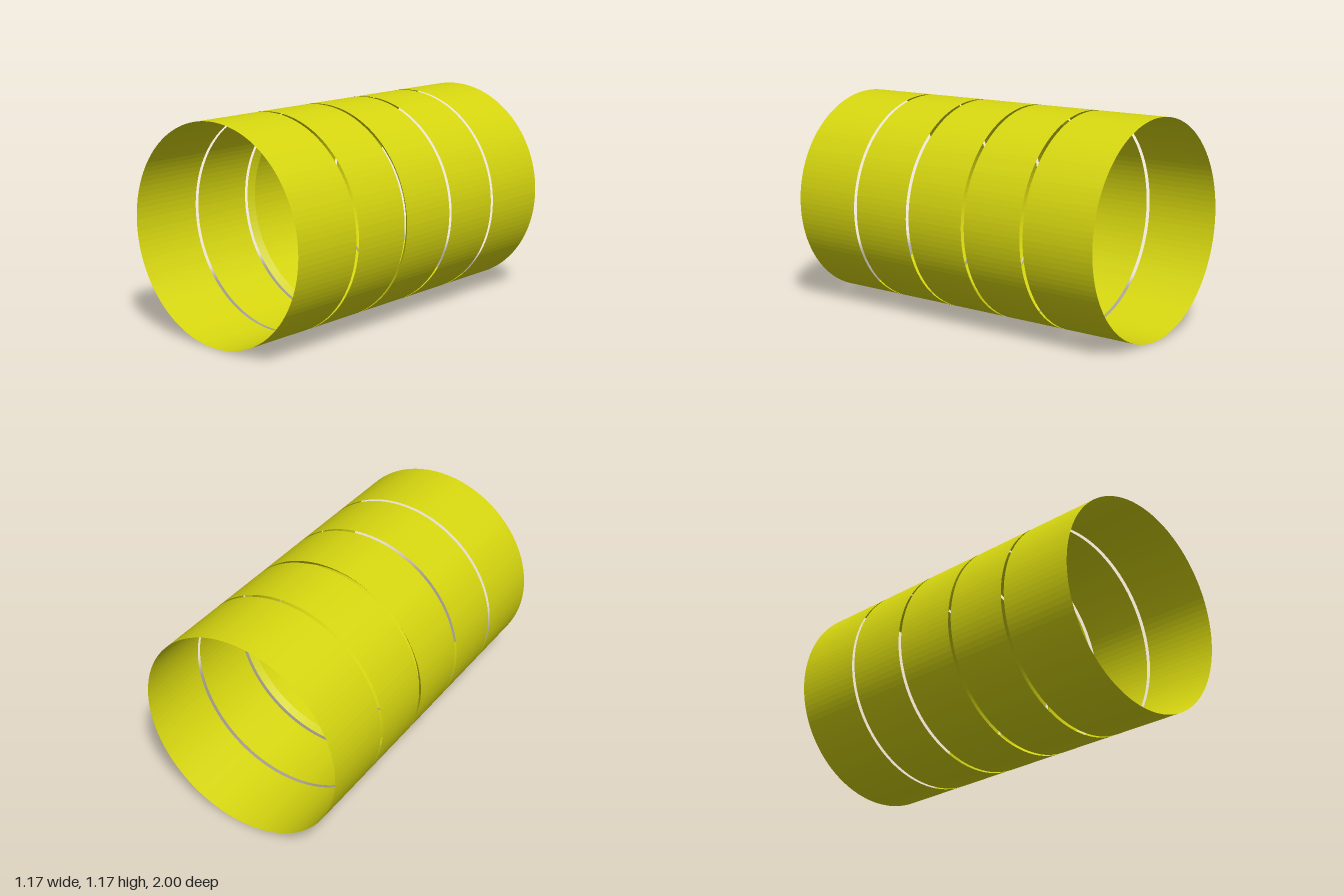
import * as THREE from 'three';

const R = 0.585;        // outer radius
const R_IN = 0.555;     // bore of the thick middle ring
const SIDES = 120;

export function createModel() {
  const group = new THREE.Group();
  const material = new THREE.MeshStandardMaterial({
    color: 0xd6d610, flatShading: true, side: THREE.DoubleSide,
  });

  // Revolve a profile of [radius, z] points around the z axis
  const addRing = (name, profile) => {
    const points = profile.map(([r, z]) => new THREE.Vector2(r, z));
    const geometry = new THREE.LatheGeometry(points, SIDES);
    geometry.rotateX(Math.PI / 2);
    const mesh = new THREE.Mesh(geometry, material);
    mesh.name = name;
    mesh.position.y = R;
    group.add(mesh);
  };

  // Thin open sleeves, mirrored front and back
  const sleeves = [['EndSleeve', 0.58, 1], ['InnerSleeve', 0.2, 0.56]];
  for (const [name, near, far] of sleeves) {
    addRing('front' + name, [[R, near], [R, far]]);
    addRing('back' + name, [[R, -far], [R, -near]]);
  }

  // Thick middle ring with bevelled ends
  const half = 0.18, bevel = 0.03;
  addRing('middleRing', [
    [R, -half], [R, half], [R_IN, half - bevel], [R_IN, bevel - half], [R, -half],
  ]);

  return group;
}
